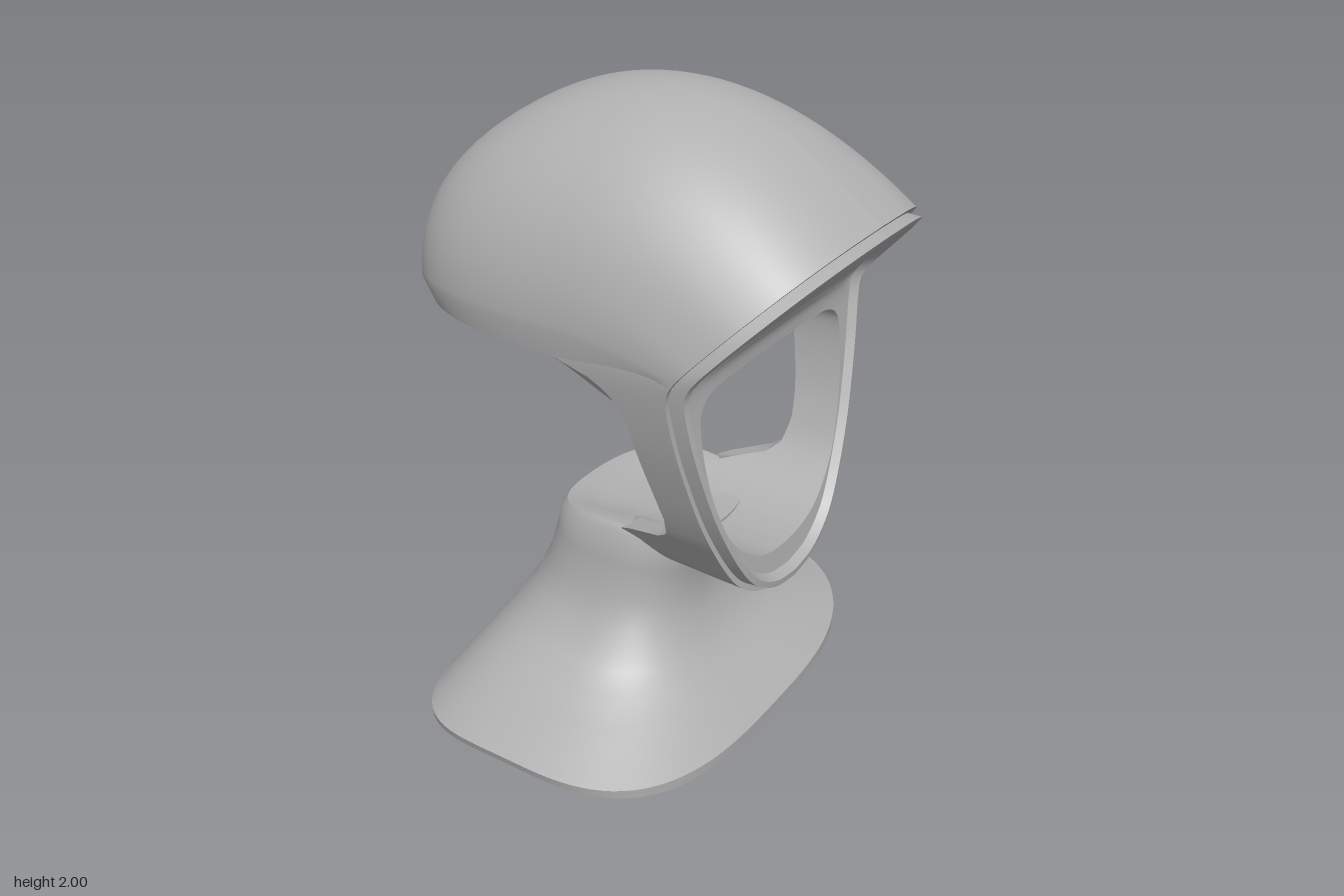
import * as THREE from 'three';
import { toCreasedNormals } from 'three/addons/utils/BufferGeometryUtils.js';

const V = (x, y, z) => new THREE.Vector3(x, y, z);
const lerp = THREE.MathUtils.lerp;
const clamp = THREE.MathUtils.clamp;

// Skin a list of equal-length rows of points
function skin(rows, { closeRows = false, closeCols = false, crease = 0.6 } = {}) {
  const n = rows[0].length, pos = [], idx = [];
  rows.forEach(r => r.forEach(p => pos.push(p.x, p.y, p.z)));
  const R = rows.length, rEnd = closeRows ? R : R - 1, cEnd = closeCols ? n : n - 1;
  for (let i = 0; i < rEnd; i++) for (let j = 0; j < cEnd; j++) {
    const a = i * n + j, b = i * n + (j + 1) % n;
    const c = ((i + 1) % R) * n + j, d = ((i + 1) % R) * n + (j + 1) % n;
    idx.push(a, c, b, b, c, d);
  }
  const g = new THREE.BufferGeometry();
  g.setAttribute('position', new THREE.Float32BufferAttribute(pos, 3));
  g.setIndex(idx);
  return toCreasedNormals(g, crease);
}

// Half outlines as (z, y), from top centre to bottom centre
const spline = pts => new THREE.SplineCurve(pts.map(p => new THREE.Vector2(...p)));
const faceEdge = spline([[0, 1.7], [0.2, 1.685], [0.36, 1.635], [0.46, 1.55], [0.515, 1.45], [0.53, 1.36],
  [0.5, 1.18], [0.455, 1.02], [0.395, 0.86], [0.31, 0.7], [0.23, 0.6], [0.12, 0.535], [0, 0.515]]);
const holeEdge = spline([[0, 1.285], [0.18, 1.283], [0.32, 1.275], [0.385, 1.24], [0.4, 1.17],
  [0.39, 1.05], [0.36, 0.93], [0.3, 0.8], [0.2, 0.7], [0.1, 0.66], [0, 0.65]]);

function fullLoop(curve, n) {
  const half = curve.getSpacedPoints(n);
  const other = half.slice(1, -1).reverse().map(p => new THREE.Vector2(-p.x, p.y));
  return half.concat(other);
}

// Bent face plane: slanted brow above, near-vertical below
function faceX(y) {
  const a = 0.39 + (1.27 - y) * 0.116, b = 0.42 + (y - 1.38) * 0.96;
  return (a + b + Math.sqrt((a - b) ** 2 + 0.0016)) / 2;
}

// Rear edge of the frame, x for each height
const REAR = [[0.5, 0.1], [0.62, 0.02], [0.7, 0.02], [0.735, 0.12], [0.765, 0.21], [0.8, 0.245], [0.87, 0.258],
  [0.95, 0.25], [1.2, 0.21], [1.27, 0.175], [1.31, 0.13], [1.34, 0.06], [1.36, -0.05], [2, -0.05]];
function rearX(y) {
  for (let i = 1; i < REAR.length; i++) {
    const [y0, x0] = REAR[i - 1], [y1, x1] = REAR[i];
    if (y <= y1) return lerp(x0, x1, clamp((y - y0) / (y1 - y0), 0, 1));
  }
  return -0.05;
}

// Dome lines run from the back pole over the mid arch to the face edge
function headRows() {
  const rows = [], N = 40;
  for (let j = -N; j <= N; j++) {
    const s = Math.sign(j) || 1, u = Math.abs(j) / N, phi = (1 - u) * Math.PI / 2;
    const mz = 0.54 * Math.cos(phi), my = 1.43 + 0.57 * Math.sin(phi);
    const f = faceEdge.getPoint(u * 5 / 12), fx = faceX(f.y) - 0.05;
    const e = 2 / (2 + 1.2 * Math.cos(phi) ** 2), row = [];
    for (let i = 0; i <= 24; i++) {
      const a = i / 24 * Math.PI / 2, k = Math.sin(a) ** e;
      row.push(V(-0.68 * Math.max(0, Math.cos(a)) ** e, lerp(1.43, my, k), s * mz * k));
    }
    for (let i = 1; i <= 16; i++) {
      const t = i / 16, w0 = 1 - t * t, w1 = t * t;
      row.push(V(t * (1 - t) * fx + t * t * fx, w0 * my + w1 * f.y, s * (w0 * mz + w1 * f.x)));
    }
    rows.push(row);
  }
  // skirt turning in to the flat underside
  const skirt = r => r.map(p => V(p.x < 0 ? p.x * 0.95 : p.x, p.x < 0 ? 1.355 - p.x * 0.025 : 1.355, p.z * 0.98));
  const first = skirt(rows[0]), last = skirt(rows[rows.length - 1]);
  return { rows: [first, ...rows, last], first, last };
}

// Grooved rim, face panel, opening and side struts, as one ring of loops
function frameRows() {
  const N = 72, outer = fullLoop(faceEdge, N), hole = fullLoop(holeEdge, N);
  const inset = k => outer.map(p => new THREE.Vector2(p.x * k, 1.12 + (p.y - 1.12) * k));
  const onFace = (loop, off) => loop.map(p => V(faceX(p.y) + off, p.y, p.x));
  const rows = [onFace(outer, -0.05), onFace(inset(0.965), -0.05), onFace(inset(0.96), -0.005),
    onFace(inset(0.925), 0), onFace(inset(0.895), -0.025)];
  const inner = inset(0.895);
  for (let i = 1; i <= 10; i++) rows.push(onFace(inner.map((p, j) => p.clone().lerp(hole[j], i / 10)), -0.025));
  rows.push(hole.map(p => V(rearX(p.y), p.y, p.x)));
  rows.push(outer.map(p => {
    const x = rearX(p.y), top = p.y > 1.4;
    const taper = top ? 0.9 : p.y < 0.8 ? 1 - 0.5 * clamp(0.25 - x, 0, 0.25) : 1;
    return V(x, Math.min(p.y, 1.38), p.x * taper);
  }));
  return rows;
}

// Neck and foot levels: back x, y; front x, y; side z, y
const LEVELS = [
  [-0.605, 0.01, 0.42, 0, 0.75, 0.085], [-0.607, 0.035, 0.422, 0.035, 0.757, 0.11],
  [-0.55, 0.13, 0.32, 0.135, 0.59, 0.17], [-0.505, 0.2, 0.265, 0.19, 0.49, 0.215],
  [-0.46, 0.27, 0.225, 0.24, 0.42, 0.26], [-0.39, 0.385, 0.18, 0.335, 0.335, 0.35],
  [-0.345, 0.49, 0.17, 0.42, 0.3, 0.45], [-0.32, 0.59, 0.18, 0.52, 0.285, 0.57],
  [-0.31, 0.635, 0.22, 0.64, 0.28, 0.68], [-0.295, 0.655, 0.22, 0.66, 0.265, 0.7]];
function neckRows() {
  const rows = LEVELS.map(([bx, by, fx, fy, sz, sy], l) => {
    const e = 2 / lerp(3, 2.5, l / 9), row = [];
    for (let i = 0; i < 96; i++) {
      const a = i / 96 * Math.PI * 2, c = Math.cos(a), s = Math.sin(a);
      const cx = Math.sign(c) * Math.abs(c) ** e, cz = Math.sign(s) * Math.abs(s) ** e;
      row.push(V((bx + fx) / 2 + cx * (fx - bx) / 2, lerp(sy, cx < 0 ? by : fy, cx * cx), cz * sz));
    }
    return row;
  });
  // shallow dish on top
  const rim = rows[rows.length - 1];
  for (const [k, t] of [[0.82, 0.1], [0.6, 0.7], [0.3, 1], [0, 1]])
    rows.push(rim.map(p => V(lerp(-0.04, p.x, k), lerp(p.y, 0.65, t), p.z * k)));
  return rows;
}

// Thin plate lying on the face panel
function plateRows(cy, hy, hz, round) {
  const rows = [];
  for (let i = 0; i <= 24; i++) {
    const t = -Math.cos(i / 24 * Math.PI), y = cy + t * hy, c = Math.sqrt(Math.max(0, 1 - t * t));
    const w = round ? hz - hy + hy * c : hz * c;
    rows.push([-1, 1].map(s => V(faceX(y) - 0.019, y, s * w)));
  }
  return rows;
}

export function createModel() {
  const group = new THREE.Group();
  const grey = new THREE.MeshStandardMaterial({ color: 0xb0b0b0, side: THREE.DoubleSide });
  grey.name = 'plain grey';
  const add = (name, geo) => {
    const m = new THREE.Mesh(geo, grey);
    m.name = name;
    group.add(m);
    return m;
  };

  const head = headRows();
  add('headShell', skin(head.rows));
  add('headUnderside', skin([head.first, head.last]));
  add('faceFrame', skin(frameRows(), { closeRows: true, closeCols: true, crease: 0.5 }));
  add('browSlot', skin(plateRows(1.445, 0.055, 0.4, true)));
  add('browSlit', skin(plateRows(1.33, 0.027, 0.385, false)));

  const neck = neckRows();
  add('neckAndFoot', skin(neck, { closeCols: true, crease: 0.7 }));
  const half = neck[0].slice(0, 49);
  add('footUnderside', skin([half, half.map(p => V(p.x, p.y, -p.z))]));

  // Ball with a slightly flattened bottom, under a round collar
  const ball = new THREE.SphereGeometry(0.21, 48, 32);
  const bp = ball.attributes.position;
  for (let i = 0; i < bp.count; i++) bp.setY(i, Math.max(bp.getY(i), -0.198));
  add('ball', toCreasedNormals(ball, 0.5)).position.set(-0.08, 1.313, 0);
  const collar = add('ballCollar', new THREE.CylinderGeometry(0.225, 0.222, 0.03, 48));
  collar.position.set(-0.095, 1.338, 0);
  collar.rotation.z = -0.04;
  return group;
}
